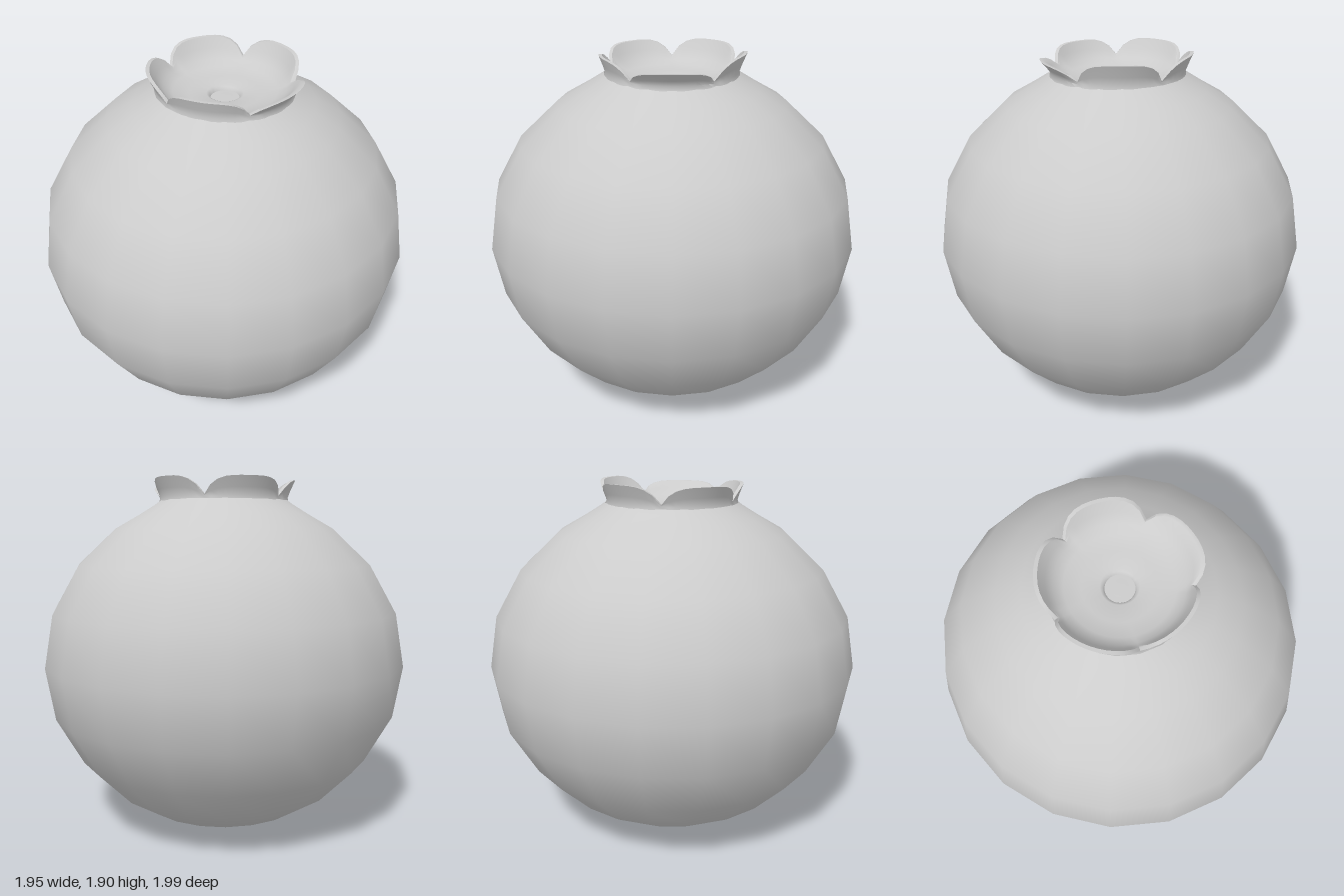
import * as THREE from 'three';
import { mergeVertices, toCreasedNormals } from 'three/addons/utils/BufferGeometryUtils.js';

const points = (list) => list.map(([r, y]) => new THREE.Vector2(r, y));

// Five petals counted from +x: rim height and rim radius
const PETALS = [
  { top: 1.862, radius: 0.4 },
  { top: 1.885, radius: 0.375 },
  { top: 1.89, radius: 0.385 },
  { top: 1.895, radius: 0.385 },
  { top: 1.9, radius: 0.385 },
];

// Cup with a rim cut into five petals: lift = how far a ring follows the petal
function crownGeometry() {
  const rings = [
    // radius, height, lift
    [0.36, 1.74, 0], [0.352, 1.775, 0], [0.343, 1.792, 0.08], [0.343, 1.798, 0.45],
    [0.345, 1.803, 1], [0.328, 1.805, 0.97],
    [0.318, 1.797, 0.5], [0.3, 1.785, 0.12], [0.26, 1.77, 0], [0.18, 1.755, 0],
    [0.092, 1.75, 0], [0.08, 1.745, 0], [0.072, 1.728, 0], [0.04, 1.728, 0], [0, 1.73, 0],
  ];
  const geometry = new THREE.LatheGeometry(points(rings), 60);
  const pos = geometry.attributes.position;
  for (let i = 0; i < pos.count; i++) {
    const [r, y, lift] = rings[i % rings.length];
    const angle = Math.atan2(pos.getZ(i), pos.getX(i));
    const turn = angle / (Math.PI * 2 / 5);
    const index = Math.round(turn);
    const petal = PETALS[(index + 5) % 5];
    const off = Math.min(1, Math.abs(turn - index) * 2); // 0 mid petal, 1 at a notch
    const rise = lift * (1 - off ** 4);
    const radius = r + rise * (petal.radius - 0.345);
    pos.setXYZ(i, radius * Math.cos(angle) + 0.005, y + rise * (petal.top - 1.803), radius * Math.sin(angle));
  }
  geometry.deleteAttribute('uv');
  geometry.deleteAttribute('normal');
  const merged = mergeVertices(geometry, 1e-4);
  merged.computeVertexNormals();
  return toCreasedNormals(merged, 0.95);
}

export function createModel() {
  const group = new THREE.Group();
  const material = new THREE.MeshStandardMaterial({ color: 0xcccccc, side: THREE.DoubleSide });

  // Round fruit with a small dimple underneath
  const profile = points([
    [0, 0.015], [0.015, 0.012], [0.025, 0.002], [0.13, 0.003], [0.28, 0.03], [0.44, 0.098],
    [0.61, 0.205], [0.79, 0.39], [0.93, 0.64], [0.977, 0.915], [0.93, 1.195], [0.79, 1.445],
    [0.59, 1.635], [0.46, 1.71], [0.375, 1.763], [0.345, 1.785],
  ]);
  const body = new THREE.Mesh(new THREE.LatheGeometry(profile, 20), material);
  body.name = 'berryBody';
  body.scale.z = 1.02;
  group.add(body);

  // Petalled crown with its sunken floor and central pit
  const crown = new THREE.Mesh(crownGeometry(), material);
  crown.name = 'crown';
  group.add(crown);

  return group;
}
